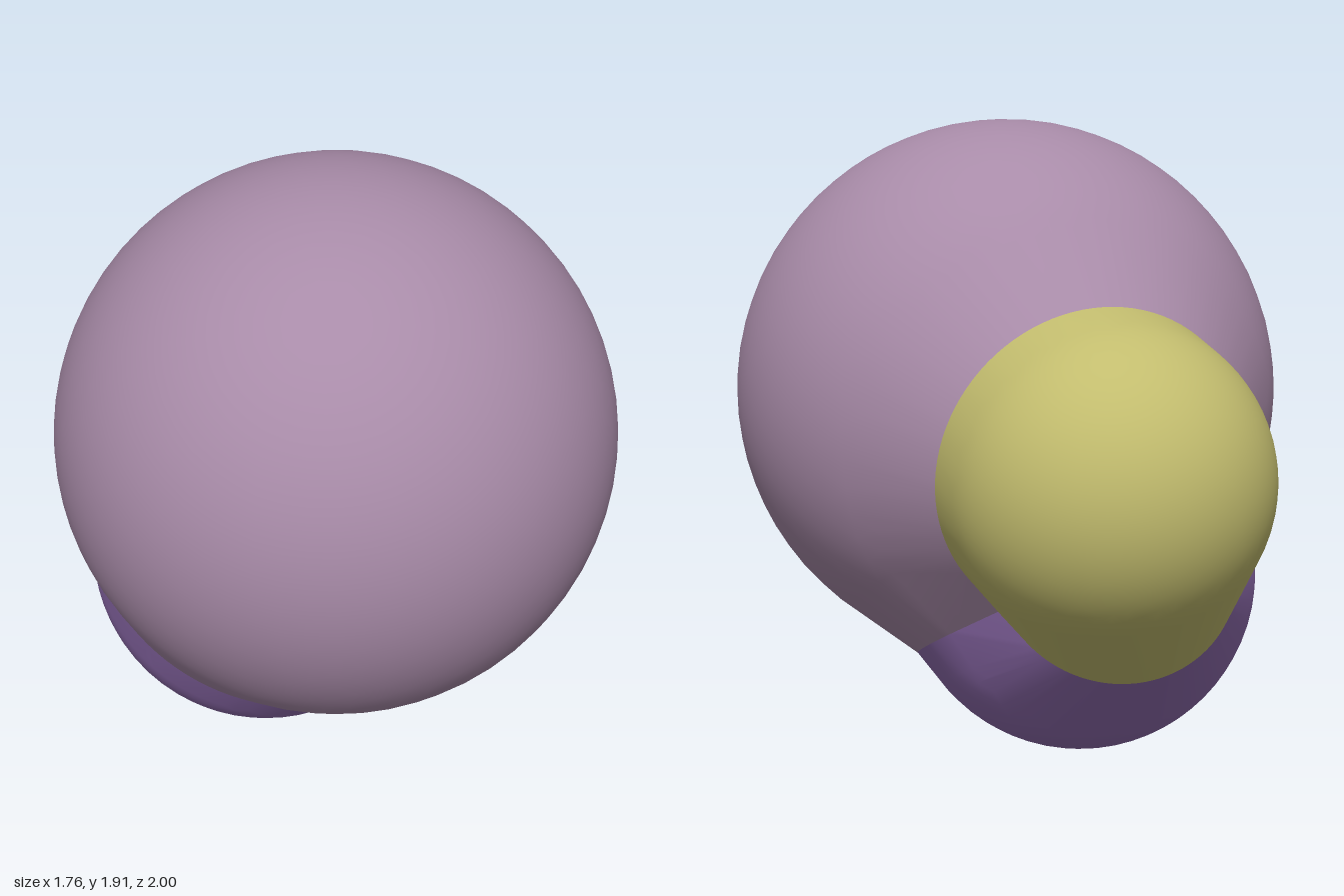
import * as THREE from 'three';
import { ConvexGeometry } from 'three/addons/geometries/ConvexGeometry.js';
import { mergeVertices, toCreasedNormals } from 'three/addons/utils/BufferGeometryUtils.js';

const V = (x, y, z) => new THREE.Vector3(x, y, z);
const SPREAD = 0.08; // widens the weights that place the contact planes

const cells = [
  { name: 'largeCell', center: V(0.05, 1.085, 0.17), radius: 0.828, color: 0xa88ba8 },
  { name: 'lowerCell', center: V(-0.21, 0.54, 0.05), radius: 0.54, color: 0x8f6cae },
  { name: 'rearCell', center: V(-0.415, 0.95, -0.53), radius: 0.47, color: 0xc2bc6e },
];

// Weighted distance: a point belongs to the cell where this is smallest
const power = (p, c) => p.distanceToSquared(c.center) - (c.radius + SPREAD) ** 2;

// Contact plane between two cells, normal pointing from a to b
function contactPlane(a, b) {
  const normal = b.center.clone().sub(a.center);
  const d = normal.length();
  normal.normalize();
  const t = (d * d + (a.radius + SPREAD) ** 2 - (b.radius + SPREAD) ** 2) / (2 * d);
  return { normal, origin: a.center.clone().addScaledVector(normal, t) };
}

// Points evenly spaced round a circle
function ring(center, normal, radius, count = 96) {
  const turn = new THREE.Quaternion().setFromUnitVectors(V(0, 0, 1), normal);
  return Array.from({ length: count }, (_, i) => {
    const a = (i / count) * Math.PI * 2;
    return V(Math.cos(a) * radius, Math.sin(a) * radius, 0).applyQuaternion(turn).add(center);
  });
}

// Unique points of a subdivided icosahedron
function spherePoints(radius, center) {
  const g = new THREE.IcosahedronGeometry(radius, 11);
  g.deleteAttribute('normal');
  g.deleteAttribute('uv');
  const pos = mergeVertices(g, 1e-4).attributes.position;
  return Array.from({ length: pos.count }, (_, i) => V(0, 0, 0).fromBufferAttribute(pos, i).add(center));
}

export function createModel() {
  const group = new THREE.Group();
  const [large, lower, rear] = cells;
  const planeLL = contactPlane(large, lower);
  const planeLR = contactPlane(large, rear);
  const planeRL = contactPlane(rear, lower);

  // Line shared by all three contact planes, and its middle
  const dir = planeLL.normal.clone().cross(planeLR.normal).normalize();
  const [n1, n2] = [planeLL.normal, planeLR.normal];
  const middle = V(n1.dot(planeLL.origin), n2.dot(planeLR.origin), dir.dot(large.center)).applyMatrix3(
    new THREE.Matrix3().set(n1.x, n1.y, n1.z, n2.x, n2.y, n2.z, dir.x, dir.y, dir.z).invert());
  const corners = [-0.375, 0.375].map((s) => middle.clone().addScaledVector(dir, s));

  // Rim of each contact face, cut off where the third cell takes over
  const rims = [
    { pair: [large, lower], third: rear, points: ring(planeLL.origin, planeLL.normal, 0.55) },
    { pair: [large, rear], third: lower, points: ring(planeLR.origin, planeLR.normal, 0.475) },
    { pair: [rear, lower], third: large, points: ring(middle, planeRL.normal, 0.355) },
  ];
  for (const rim of rims) {
    rim.points = rim.points.filter((p) => power(p, rim.third) > power(p, rim.pair[0]));
  }

  // Each cell is a sphere trimmed by its neighbours and drawn out to the rims
  for (const cell of cells) {
    const others = cells.filter((c) => c !== cell);
    const points = spherePoints(cell.radius, cell.center)
      .filter((p) => others.every((o) => power(p, cell) < power(p, o) - 0.005));
    for (const rim of rims) if (rim.pair.includes(cell)) points.push(...rim.points);
    points.push(...corners.map((p) => p.clone()));
    const geometry = toCreasedNormals(new ConvexGeometry(points), 0.6);
    const mesh = new THREE.Mesh(geometry, new THREE.MeshStandardMaterial({ color: cell.color }));
    mesh.name = cell.name;
    group.add(mesh);
  }
  return group;
}
